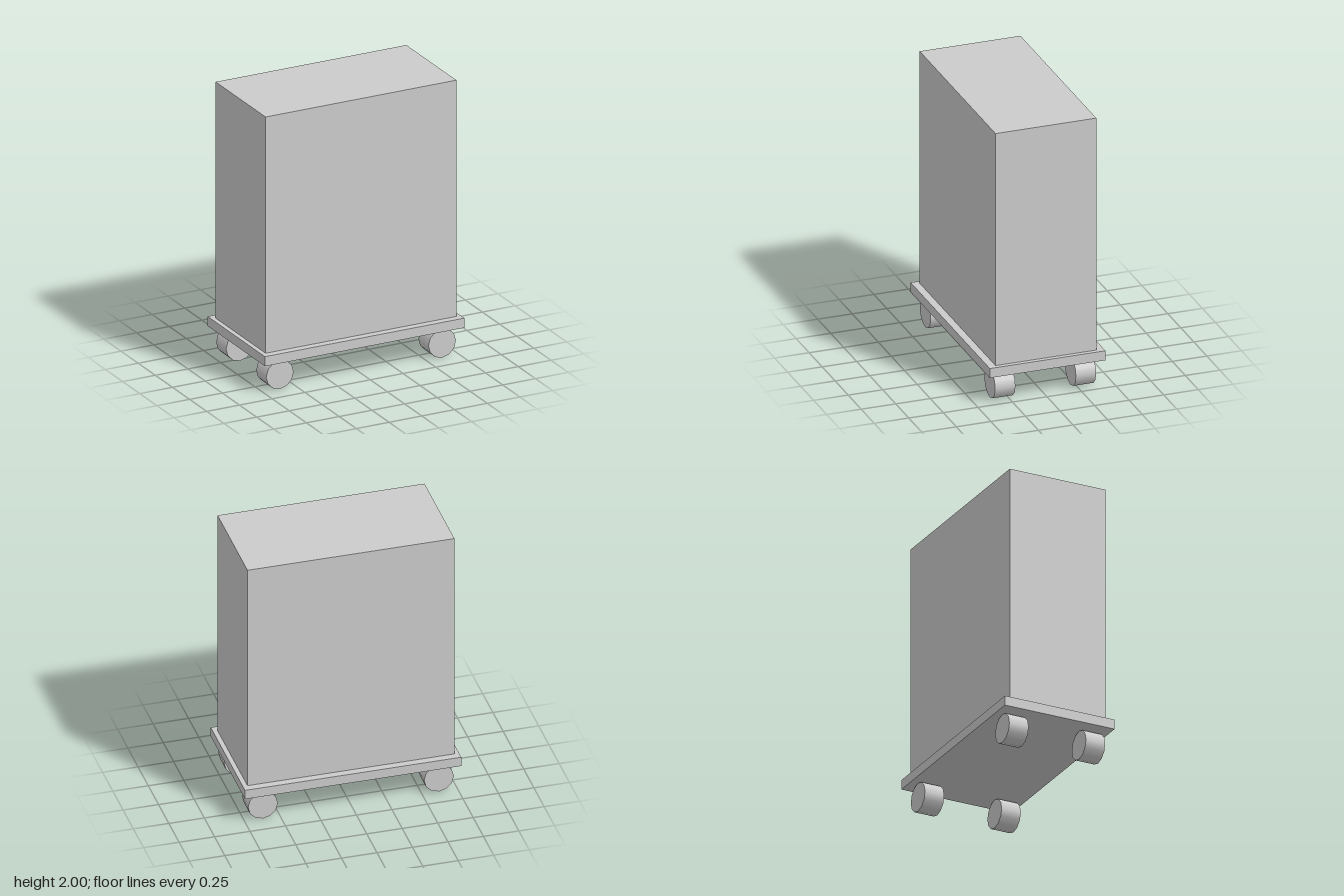
import * as THREE from 'three';

export function createModel() {
  const model = new THREE.Group();
  const material = new THREE.MeshStandardMaterial({ color: 0xcccccc });

  const add = (name, geometry, x, y, z) => {
    const mesh = new THREE.Mesh(geometry, material);
    mesh.name = name;
    mesh.position.set(x, y, z);
    model.add(mesh);
  };

  // Tall cabinet standing on a slightly wider base plate
  const plateBottom = 0.21, plateTop = 0.28, top = 2;
  add('cabinet', new THREE.BoxGeometry(1.458, top - plateTop, 0.729), 0, (top + plateTop) / 2, 0);
  add('basePlate', new THREE.BoxGeometry(1.524, plateTop - plateBottom, 0.836), 0, (plateTop + plateBottom) / 2, 0);

  // Four twelve-sided wheels with their axles along z
  const radius = plateBottom / 2;
  const wheel = new THREE.CylinderGeometry(radius, radius, 0.146, 12).rotateX(Math.PI / 2);
  for (const [side, x] of [['Left', 0.62], ['Right', -0.62]]) {
    add(`front${side}Wheel`, wheel, x, radius, 0.292);
    add(`back${side}Wheel`, wheel, x, radius, -0.292);
  }

  return model;
}
